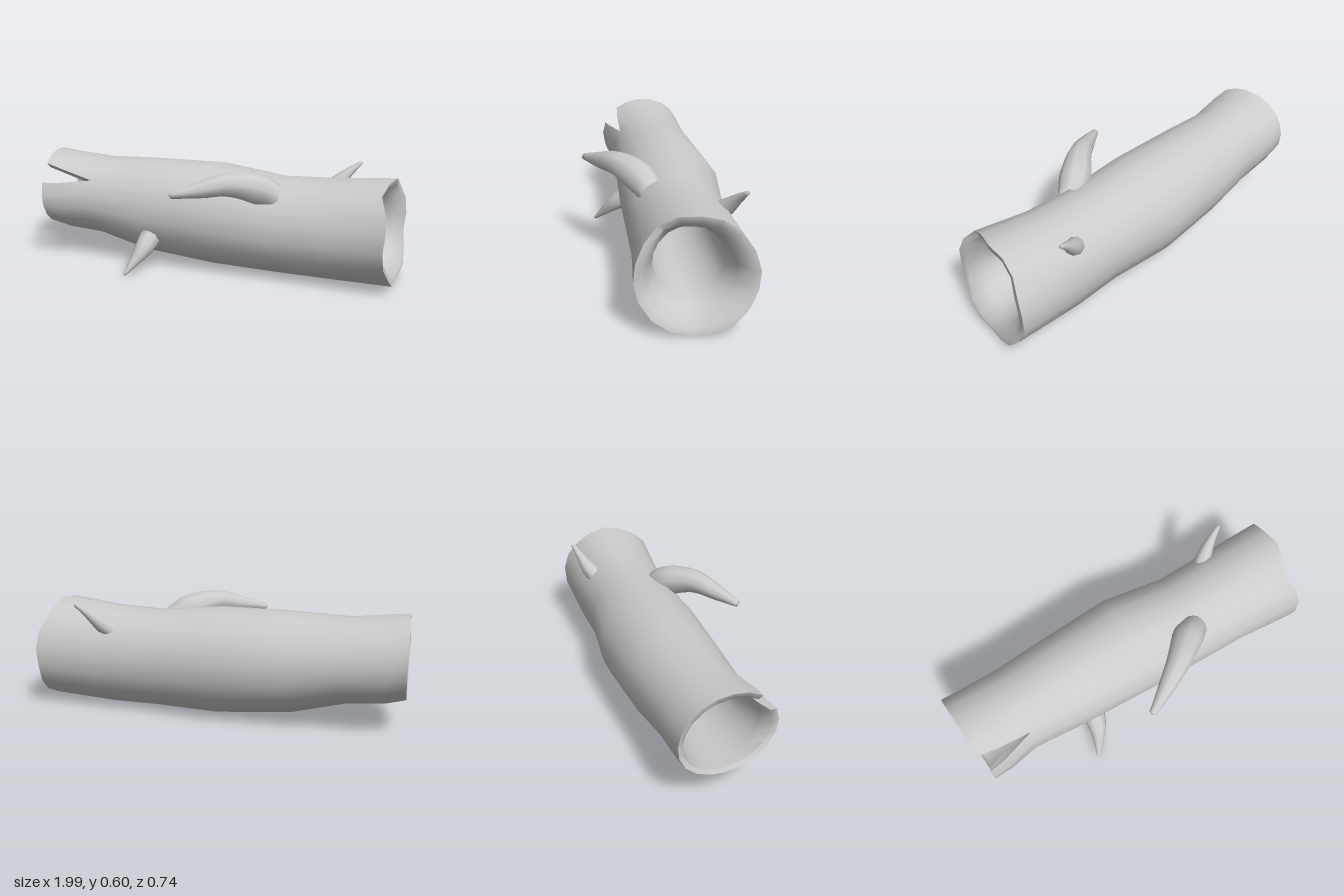
import * as THREE from 'three';
import { toCreasedNormals, mergeVertices } from 'three/addons/utils/BufferGeometryUtils.js';

const material = new THREE.MeshStandardMaterial({ color: 0xcccccc, side: THREE.DoubleSide });
const SIDES = 18;
const SPLIT = 0.6; // angle of the split, measured from +z towards +y

// Bark: x, bottom, top, back z, front z
const BARK = [
  [-0.97, 0.165, 0.59, -0.29, 0.205],
  [-0.88, 0.14, 0.58, -0.295, 0.195],
  [-0.68, 0.12, 0.56, -0.305, 0.16],
  [-0.4, 0.045, 0.57, -0.335, 0.17],
  [0, 0.006, 0.572, -0.37, 0.177],
  [0.35, 0.003, 0.53, -0.335, 0.17],
  [0.62, 0, 0.54, -0.35, 0.172],
  [0.955, 0.008, 0.568, -0.355, 0.2],
];
// Hollow, from the wide end back to the split end
const HOLLOW = [
  [0.95, 0.04, 0.535, -0.32, 0.165],
  [0.88, 0.10, 0.49, -0.265, 0.12],
  [0.8, 0.135, 0.465, -0.235, 0.1],
  [0.35, 0.135, 0.465, -0.24, 0.1],
  [0, 0.135, 0.475, -0.25, 0.11],
  [-0.4, 0.15, 0.49, -0.245, 0.12],
  [-0.68, 0.165, 0.51, -0.24, 0.13],
  [-0.88, 0.18, 0.54, -0.25, 0.155],
  [-0.96, 0.185, 0.56, -0.265, 0.18],
];

// One point of a cross-section, with the uneven ends and the split worked in
function sectionPoint([x, bottom, top, back, front], j) {
  const gap = Math.max(0, (-0.68 - x) / 0.29) * 0.27;
  const t = SPLIT + gap + (j / SIDES) * (2 * Math.PI - 2 * gap);
  const c = Math.cos(t), s = Math.sin(t);
  let px = x;
  if (x > 0.84) {
    const chip = 0.035 * Math.exp(-(((t - 1.1) / 0.2) ** 2));
    px += -0.02 * s - 0.022 * c - chip + 0.01 * Math.sin(5 * t);
  }
  if (x < -0.8) px += 0.025 * c;
  const wobble = 1 + 0.012 * Math.sin(3 * t + x * 4);
  return [px,
    (bottom + top) / 2 + ((top - bottom) / 2) * s,
    (back + front) / 2 + ((front - back) / 2) * c * wobble];
}

function trunkGeometry() {
  const rows = [...BARK, ...HOLLOW];
  const n = rows.length, w = SIDES + 1;
  const pos = [], index = [];
  const quad = (a, b, c, d) => index.push(a, b, c, a, c, d);
  rows.forEach((r) => {
    for (let j = 0; j < w; j++) pos.push(...sectionPoint(r, j));
  });
  // Bark, rim and hollow form one closed skin
  for (let i = 0; i < n; i++) {
    const k = (i + 1) % n;
    for (let j = 0; j < SIDES; j++) quad(i * w + j, k * w + j, k * w + j + 1, i * w + j + 1);
  }
  // Cut faces on both sides of the split
  for (let i = 0; i < 2; i++) {
    const o0 = i * w, o1 = (i + 1) * w, h0 = (n - 1 - i) * w, h1 = (n - 2 - i) * w;
    quad(o0, h0, h1, o1);
    quad(o0 + SIDES, o1 + SIDES, h1 + SIDES, h0 + SIDES);
  }
  const g = new THREE.BufferGeometry();
  g.setAttribute('position', new THREE.Float32BufferAttribute(pos, 3));
  g.setIndex(index);
  return toCreasedNormals(g, 1.0);
}

// Tapered branch stub through points [x, y, z, radius], with a rounded tip
function branch(name, points) {
  const curve = new THREE.CatmullRomCurve3(points.map((p) => new THREE.Vector3(p[0], p[1], p[2])));
  const steps = 14, sides = 9, last = points.length - 1;
  const tube = new THREE.TubeGeometry(curve, steps, 1, sides);
  const p = tube.attributes.position, nrm = tube.attributes.normal;
  const v = new THREE.Vector3();
  for (let i = 0; i <= steps; i++) {
    const u = Math.min(i / (steps - 1), 1);
    const t = curve.getUtoTmapping(u) * last;
    const k = Math.min(Math.floor(t), last - 1);
    const r = i === steps ? 0 : THREE.MathUtils.lerp(points[k][3], points[k + 1][3], t - k);
    const centre = curve.getPointAt(i === steps ? 1 : u * 0.985);
    for (let j = 0; j <= sides; j++) {
      const m = i * (sides + 1) + j;
      v.fromBufferAttribute(nrm, m).multiplyScalar(r).add(centre);
      p.setXYZ(m, v.x, v.y, v.z);
    }
  }
  tube.deleteAttribute('uv');
  tube.deleteAttribute('normal');
  const g = mergeVertices(tube, 1e-4);
  g.computeVertexNormals();
  const mesh = new THREE.Mesh(g, material);
  mesh.name = name;
  return mesh;
}

export function createModel() {
  const group = new THREE.Group();
  group.name = 'hollowLog';

  const trunk = new THREE.Mesh(trunkGeometry(), material);
  trunk.name = 'trunk';
  group.add(trunk);

  group.add(branch('largeBranch', [
    [0.34, 0.455, 0.045, 0.07],
    [0.26, 0.505, 0.1, 0.085],
    [0.14, 0.54, 0.2, 0.064],
    [0.02, 0.52, 0.28, 0.045],
    [-0.115, 0.498, 0.36, 0.018],
  ]));
  group.add(branch('lowerBranch', [
    [-0.33, 0.18, 0.12, 0.06],
    [-0.345, 0.13, 0.18, 0.05],
    [-0.375, 0.07, 0.24, 0.028],
    [-0.412, 0.008, 0.296, 0.009],
  ]));
  group.add(branch('backBranch', [
    [0.57, 0.43, -0.245, 0.05],
    [0.61, 0.47, -0.28, 0.042],
    [0.67, 0.53, -0.315, 0.024],
    [0.73, 0.58, -0.343, 0.01],
  ]));
  return group;
}
